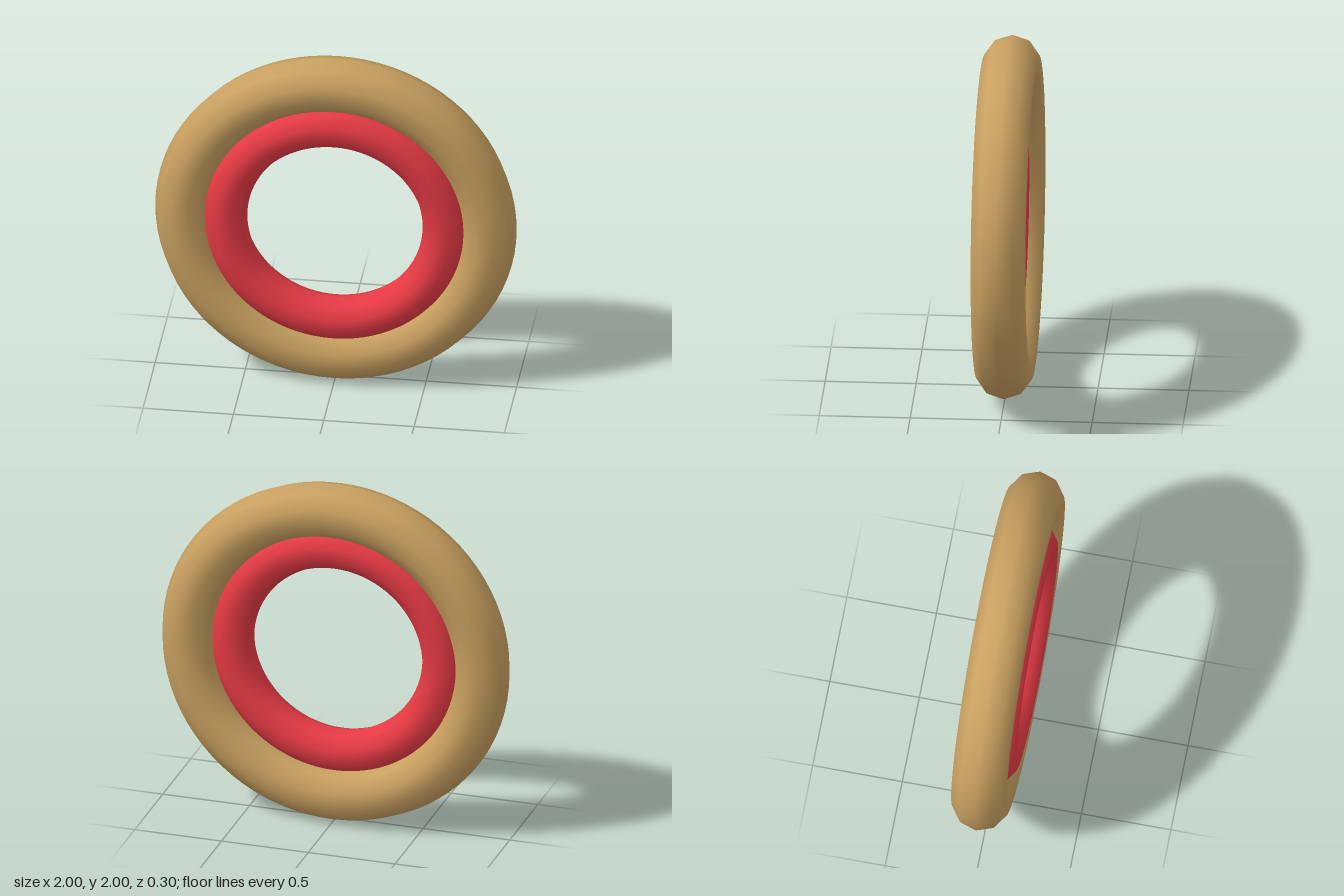
import * as THREE from 'three';

// Two nested smooth rings, each with a ten-sided cross-section
export function createModel() {
  const tan = new THREE.MeshStandardMaterial({ color: 0xc8a060 });
  tan.name = 'tan';
  const red = new THREE.MeshStandardMaterial({ color: 0xe63a44 });
  red.name = 'red';

  const model = new THREE.Group();
  model.name = 'doubleRing';

  function addRing(name, radius, tube, z, material) {
    const ring = new THREE.Mesh(new THREE.TorusGeometry(radius, tube, 10, 80), material);
    ring.name = name;
    ring.position.set(0, 1, z);
    model.add(ring);
  }

  addRing('outerRing', 0.845, 0.155, -0.005, tan);
  // The inner ring sits slightly forward, its rim sunk into the outer ring
  addRing('innerRing', 0.607, 0.122, 0.036, red);

  return model;
}
